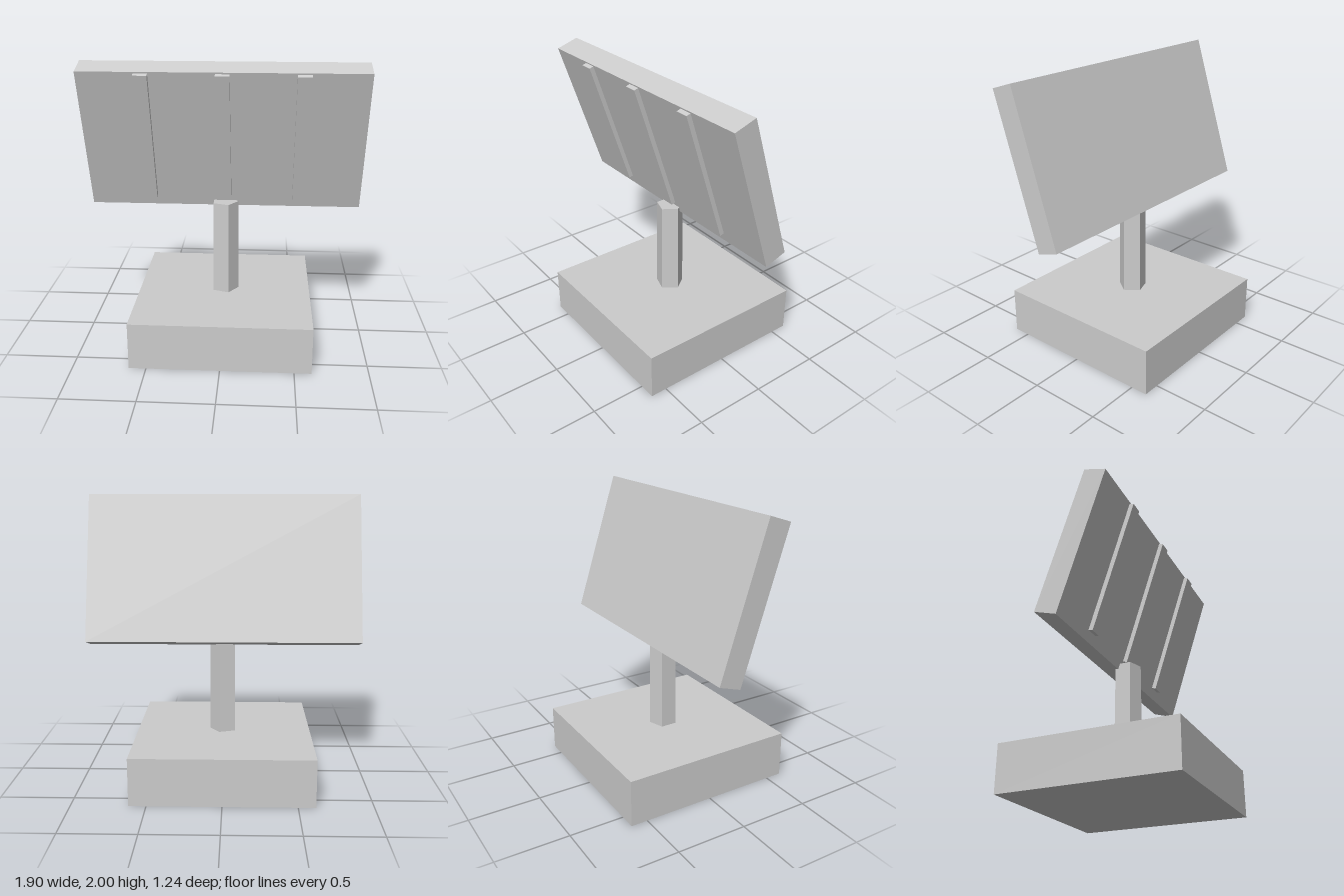
import * as THREE from 'three';

export function createModel() {
  const model = new THREE.Group();
  const grey = new THREE.MeshStandardMaterial({ color: 0xcccccc });
  grey.name = 'light grey';

  const add = (parent, name, geometry, x, y, z) => {
    const mesh = new THREE.Mesh(geometry, grey);
    mesh.name = name;
    mesh.position.set(x, y, z);
    parent.add(mesh);
    return mesh;
  };

  // Square base block
  add(model, 'base', new THREE.BoxGeometry(1.235, 0.33, 1.235), 0, 0.165, 0);

  // Five-sided, slightly tapered post with one corner towards +x
  const post = new THREE.CylinderGeometry(0.095, 0.1, 0.67, 5, 1, false, Math.PI / 2).toNonIndexed();
  post.computeVertexNormals();
  add(model, 'post', post, 0, 0.665, 0);

  // Panel leaning forward at the top
  const panel = new THREE.Group();
  panel.name = 'tiltedPanel';
  panel.position.set(0, 1.48, 0.0475);
  panel.rotation.x = 0.313;
  model.add(panel);
  add(panel, 'panelBoard', new THREE.BoxGeometry(1.9, 1.04, 0.163), 0, 0, 0);

  // Three raised ribs on the front of the panel
  for (const x of [-0.525, 0, 0.522]) {
    add(panel, 'rib', new THREE.BoxGeometry(0.093, 0.957, 0.06), x, 0.031, 0.083);
  }
  return model;
}
